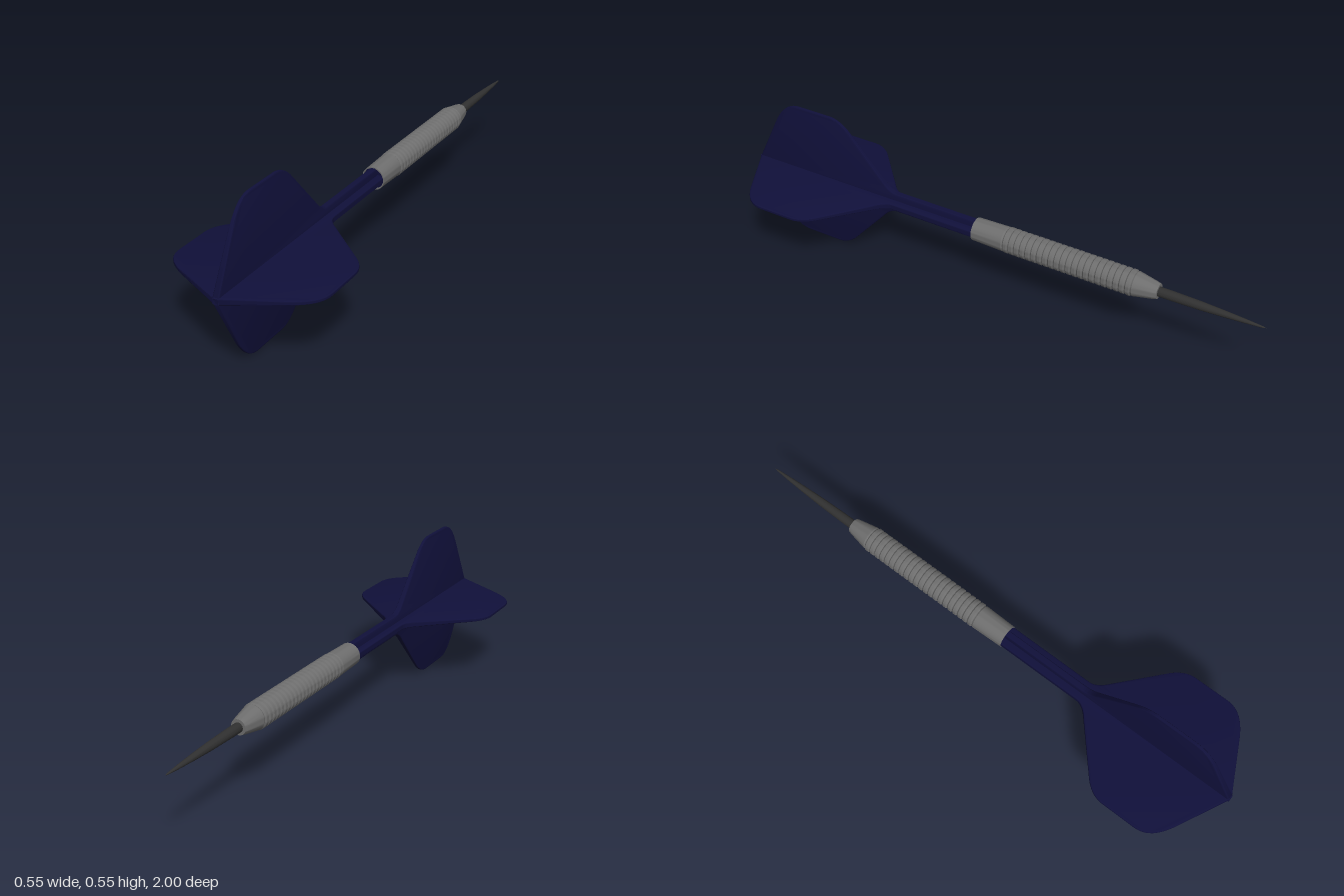
import * as THREE from 'three';
import { toCreasedNormals } from 'three/addons/utils/BufferGeometryUtils.js';

const AXIS_Y = 0.275;

// Turned part along z; profile is [z, radius] from the tail (+z) to the tip (-z)
function turned(name, profile, material, segments = 40) {
  const points = profile.map(([z, r]) => new THREE.Vector2(r, -z));
  const geometry = new THREE.LatheGeometry(points, segments);
  geometry.rotateX(-Math.PI / 2);
  const mesh = new THREE.Mesh(toCreasedNormals(geometry, 0.5), material);
  mesh.name = name;
  return mesh;
}

// One vane with its narrow stem: outline in (z, radius), thinner towards the outer edge
function vaneGeometry() {
  const s = new THREE.Shape();
  s.moveTo(0.05, -0.01);
  s.lineTo(1, -0.01);
  s.lineTo(1, 0.004);
  s.lineTo(0.905, 0.195);
  s.bezierCurveTo(0.88, 0.24, 0.85, 0.275, 0.8, 0.275);
  s.lineTo(0.665, 0.275);
  s.quadraticCurveTo(0.625, 0.272, 0.59, 0.236);
  s.lineTo(0.45, 0.078);
  s.quadraticCurveTo(0.42, 0.04, 0.39, 0.039);
  s.lineTo(0.05, 0.039);
  s.closePath();
  const g = new THREE.ExtrudeGeometry(s, {
    depth: 0.012, bevelThickness: 0.006, bevelSize: 0.006, bevelOffset: -0.006,
    bevelSegments: 3, curveSegments: 10,
  });
  g.translate(0, 0, -0.006);
  const p = g.attributes.position;
  for (let i = 0; i < p.count; i++) {
    p.setZ(i, p.getZ(i) * (1.05 - 0.55 * p.getY(i) / 0.275));
  }
  g.rotateY(-Math.PI / 2); // outline length onto z
  return toCreasedNormals(g, 0.6);
}

export function createModel() {
  const navy = new THREE.MeshStandardMaterial({ color: 0x10103a });
  const steel = new THREE.MeshStandardMaterial({ color: 0x6e6e6e });
  const dark = new THREE.MeshStandardMaterial({ color: 0x303030 });

  const dart = new THREE.Group();
  dart.name = 'dart';
  const body = new THREE.Group();
  body.name = 'body';
  body.position.y = AXIS_Y;
  dart.add(body);

  // Barrel: socket, plain collar, grip rings, tapered nose
  const barrel = [[0.045, 0], [0.045, 0.038], [0.065, 0.038], [0.065, 0.042], [-0.055, 0.045]];
  const rings = 22, start = -0.06, pitch = 0.022;
  for (let i = 0; i < rings; i++) {
    const z = start - i * pitch;
    barrel.push([z, 0.042], [z - 0.005, 0.0465], [z - 0.016, 0.0465], [z - 0.021, 0.042]);
  }
  barrel.push([-0.548, 0.044], [-0.615, 0.031], [-0.63, 0.027], [-0.63, 0]);
  body.add(turned('barrel', barrel, steel));

  // Dark plug holding the stem in the socket
  body.add(turned('stemPlug', [[0.055, 0], [0.055, 0.0385], [0.044, 0.0385]], navy));

  // Needle point
  body.add(turned('point', [
    [-0.62, 0.017], [-0.68, 0.017], [-0.78, 0.015], [-0.86, 0.0115],
    [-0.93, 0.0075], [-0.99, 0.003], [-1, 0],
  ], dark, 24));

  // Four vanes crossing on the axis
  const flight = new THREE.Group();
  flight.name = 'flight';
  const vane = vaneGeometry();
  for (let i = 0; i < 4; i++) {
    const mesh = new THREE.Mesh(vane, navy);
    mesh.name = 'vane';
    mesh.rotation.z = i * Math.PI / 2;
    flight.add(mesh);
  }
  // Slim core along the crossing
  flight.add(turned('core', [[0.985, 0], [0.96, 0.012], [0.4, 0.016], [0.05, 0.016]], navy, 16));
  body.add(flight);

  return dart;
}
